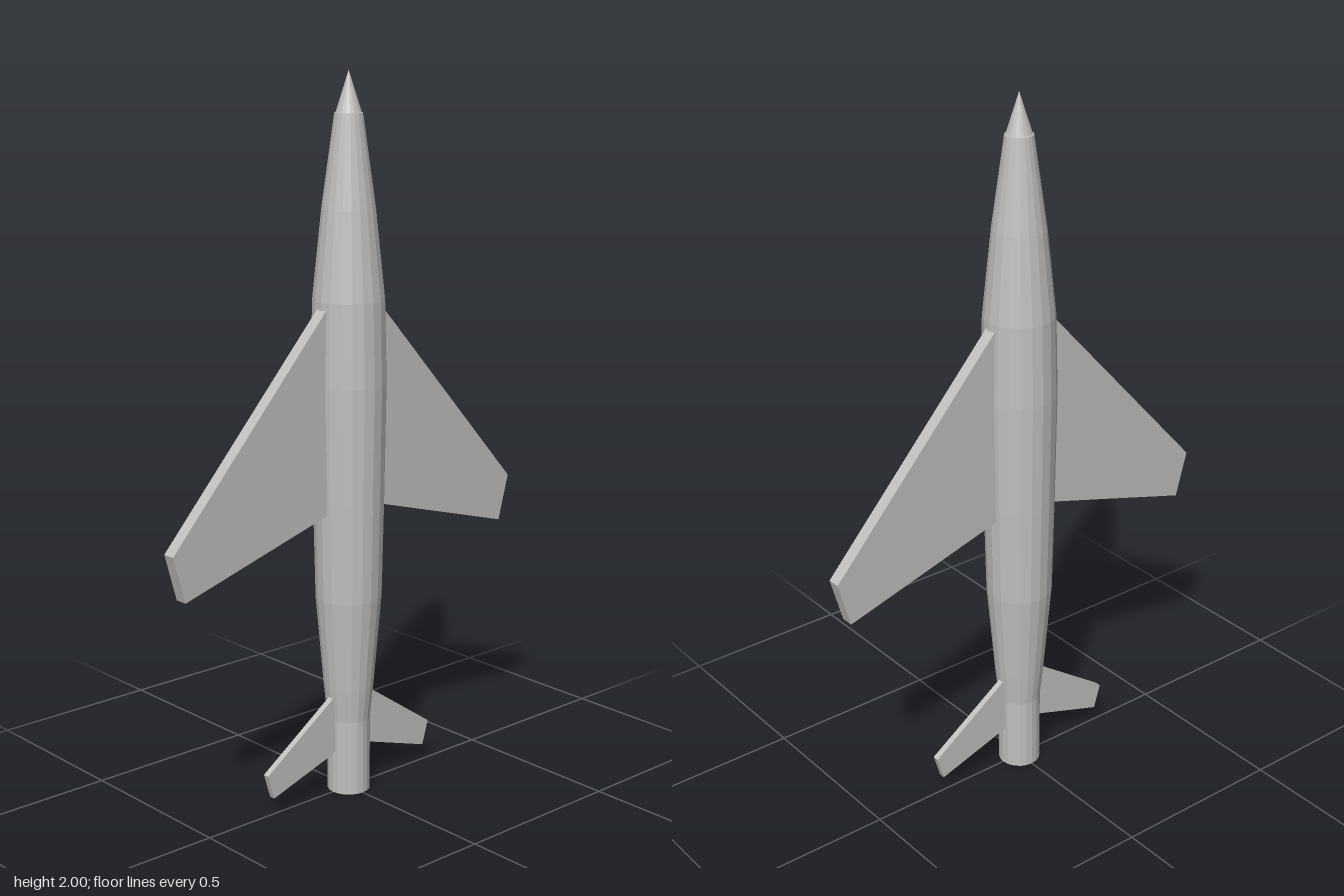
import * as THREE from 'three';

const SIDES = 20;

// Flat plate drawn in the xy plane, centred on z = 0
function plate(points, thickness, material, name) {
  const shape = new THREE.Shape(points.map(([x, y]) => new THREE.Vector2(x, y)));
  const geometry = new THREE.ExtrudeGeometry(shape, { depth: thickness, bevelEnabled: false });
  geometry.translate(0, 0, -thickness / 2);
  const mesh = new THREE.Mesh(geometry, material);
  mesh.name = name;
  return mesh;
}

function lathe(profile, material, name) {
  const points = profile.map(([r, y]) => new THREE.Vector2(r, y));
  let geometry = new THREE.LatheGeometry(points, SIDES).toNonIndexed();
  geometry.computeVertexNormals();
  const mesh = new THREE.Mesh(geometry, material);
  mesh.name = name;
  return mesh;
}

export function createModel() {
  const model = new THREE.Group();
  model.name = 'sweptWingRocket';
  const grey = new THREE.MeshStandardMaterial({ color: 0xc0c0c0 });
  grey.name = 'light grey';

  // Tapered fuselage
  model.add(lathe([
    [0, 0.2], [0.06, 0.215], [0.07, 0.31], [0.092, 0.57], [0.098, 0.85],
    [0.103, 1.17], [0.098, 1.4], [0.073, 1.64], [0.038, 1.89], [0, 1.9],
  ], grey, 'fuselage'));

  // Pointed nose
  model.add(lathe([[0.035, 1.89], [0, 2]], grey, 'noseCone'));

  // Hollow exhaust pipe, with its inner wall and a small plug
  model.add(lathe([[0, 0.12], [0.057, 0.12], [0.057, 0], [0.06, 0], [0.06, 0.22]], grey, 'exhaustPipe'));
  model.add(lathe([[0, 0.02], [0.016, 0.02], [0.016, 0.12]], grey, 'exhaustPlug'));

  // Swept main wings and tail fins, mirrored left and right
  for (const [side, label] of [[1, 'left'], [-1, 'right']]) {
    const mirror = (points) => points.map(([x, y]) => [x * side, y]);
    model.add(plate(mirror([[0.06, 0.83], [0.577, 0.68], [0.613, 0.81], [0.06, 1.42]]),
      0.037, grey, label + 'Wing'));
    model.add(plate(mirror([[0.04, 0.128], [0.282, 0.05], [0.303, 0.12], [0.04, 0.302]]),
      0.018, grey, label + 'TailFin'));
  }
  return model;
}
